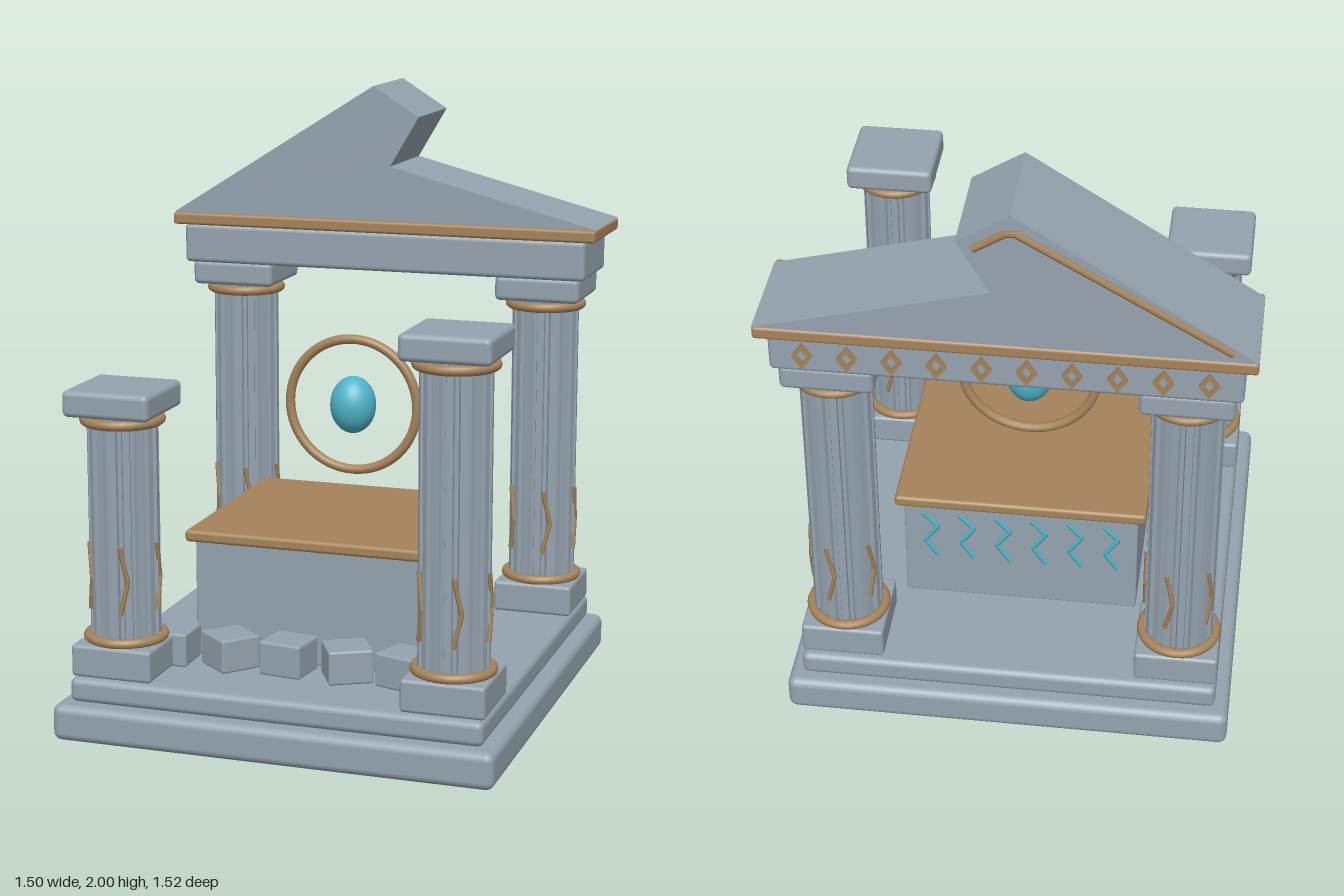
import * as THREE from 'three';
import { RoundedBoxGeometry } from 'three/addons/geometries/RoundedBoxGeometry.js';

function material(name, color) {
  const m = new THREE.MeshStandardMaterial({ color });
  m.name = name;
  return m;
}

export function createModel() {
  const model = new THREE.Group();
  model.name = 'ruinedShrine';
  const stone = material('stone', 0x95a3ae);
  const bronze = material('bronze', 0xa5835a);
  const crystal = material('crystal', 0x4fb4c9);

  function add(parent, name, geometry, mat, x = 0, y = 0, z = 0) {
    const mesh = new THREE.Mesh(geometry, mat);
    mesh.name = name;
    mesh.position.set(x, y, z);
    parent.add(mesh);
    return mesh;
  }

  // Rounded block standing from y0 to y1
  function block(parent, name, mat, w, y0, y1, d, r, x = 0, z = 0) {
    const geo = new RoundedBoxGeometry(w, y1 - y0, d, 3, r);
    return add(parent, name, geo, mat, x, (y0 + y1) / 2, z);
  }

  // Angular rod following straight segments
  function rod(parent, name, mat, points, radius, closed = false) {
    const path = new THREE.CurvePath();
    const n = points.length;
    for (let i = 0; i < (closed ? n : n - 1); i++) {
      path.add(new THREE.LineCurve3(points[i], points[(i + 1) % n]));
    }
    return add(parent, name, new THREE.TubeGeometry(path, 24, radius, 6, closed), mat);
  }
  const v = (x, y, z) => new THREE.Vector3(x, y, z);

  // Stepped platform
  block(model, 'platformBase', stone, 1.45, 0, 0.12, 1.52, 0.028);
  block(model, 'platformStep', stone, 1.36, 0.12, 0.2, 1.43, 0.022);

  // Fluted shaft outline: alternating ridges and grooves
  function shaftGeometry(height) {
    const shape = new THREE.Shape();
    const flutes = 16;
    for (let i = 0; i < flutes; i++) {
      [[0, 0.113], [0.5, 0.113], [0.6, 0.1], [0.9, 0.1]].forEach(([t, r], k) => {
        const a = ((i + t) / flutes) * Math.PI * 2;
        if (i + k === 0) shape.moveTo(r, 0);
        else shape.lineTo(r * Math.cos(a), r * Math.sin(a));
      });
    }
    shape.closePath();
    const geo = new THREE.ExtrudeGeometry(shape, { depth: height, bevelEnabled: false });
    return geo.rotateX(-Math.PI / 2);
  }

  // Column with plinth, bronze collars, capital and bent inlays
  function column(name, x, z, top) {
    const col = new THREE.Group();
    col.name = name;
    col.position.set(x, 0, z);
    model.add(col);
    block(col, 'plinth', stone, 0.27, 0.2, 0.305, 0.27, 0.012);
    add(col, 'shaft', shaftGeometry(top - 0.37), stone, 0, 0.3, 0);
    block(col, 'capital', stone, 0.29, top - 0.085, top, 0.29, 0.018);
    for (const y of [0.316, top - 0.107]) {
      add(col, 'collar', new THREE.TorusGeometry(0.121, 0.016, 10, 32).rotateX(Math.PI / 2), bronze, 0, y, 0);
    }
    for (let i = 0; i < 5; i++) {
      const a = (i / 5) * Math.PI * 2;
      const at = (offset, y) => v(0.113 * Math.cos(a + offset), y, 0.113 * Math.sin(a + offset));
      rod(col, 'inlay', bronze, [at(0.06, 0.41), at(-0.16, 0.515), at(0.06, 0.63)], 0.008);
    }
  }
  column('frontLeftColumn', 0.545, 0.56, 1.375);
  column('frontRightBrokenColumn', -0.545, 0.56, 1.13);
  column('backLeftColumn', 0.545, -0.555, 1.375);
  column('backRightColumn', -0.545, -0.555, 1.375);

  // Entablature with bronze cornice
  block(model, 'entablature', stone, 1.425, 1.37, 1.505, 0.32, 0.016, 0, -0.552);
  block(model, 'cornice', bronze, 1.5, 1.503, 1.545, 0.365, 0.01, 0, -0.56);

  // Broken pediment
  const gable = new THREE.Shape([
    [-0.75, 1.545], [0.75, 1.545], [0.035, 1.73], [0.135, 1.9], [-0.025, 2],
  ].map(([x, y]) => new THREE.Vector2(x, y)));
  add(model, 'brokenPediment',
    new THREE.ExtrudeGeometry(gable, { depth: 0.34, bevelEnabled: false }), stone, 0, 0, -0.738);
  rod(model, 'pedimentTrim', bronze,
    [v(-0.675, 1.575, -0.74), v(-0.025, 1.95, -0.74), v(0.085, 1.88, -0.74)], 0.012);

  // Row of diamond frames on the rear of the entablature
  const diamond = new THREE.Shape([[-0.031, 0], [0, -0.045], [0.031, 0], [0, 0.045]]
    .map(([x, y]) => new THREE.Vector2(x, y)));
  diamond.holes.push(new THREE.Path([[-0.017, 0], [0, 0.025], [0.017, 0], [0, -0.025]]
    .map(([x, y]) => new THREE.Vector2(x, y))));
  const diamondGeo = new THREE.ExtrudeGeometry(diamond, { depth: 0.015, bevelEnabled: false });
  for (let i = 0; i < 10; i++) {
    add(model, 'diamondFrame', diamondGeo, bronze, -0.608 + i * 0.135, 1.436, -0.726);
  }

  // Altar with bronze top
  block(model, 'altarBody', stone, 0.775, 0.2, 0.59, 0.7, 0.006);
  block(model, 'altarTop', bronze, 0.83, 0.583, 0.622, 0.755, 0.012);

  // Glowing zigzags on the rear of the altar
  for (let i = 0; i < 6; i++) {
    const x = 0.3 - i * 0.12;
    rod(model, 'altarZigzag', crystal, [
      v(x + 0.025, 0.545, -0.351), v(x - 0.025, 0.49, -0.351),
      v(x + 0.02, 0.43, -0.351), v(x - 0.025, 0.365, -0.351),
    ], 0.008);
  }

  // Floating orb inside its ring
  add(model, 'orbRing', new THREE.TorusGeometry(0.222, 0.016, 12, 64), bronze, 0, 0.966, -0.108);
  const orb = add(model, 'orb', new THREE.SphereGeometry(0.077, 32, 24), crystal, 0, 0.966, -0.108);
  orb.scale.y = 1.25;

  // Fallen stones before the altar
  [[-0.437, 0.435, 0], [-0.238, 0.432, -0.7], [-0.04, 0.432, -0.13], [0.16, 0.436, 0.5], [0.355, 0.44, -0.3]]
    .forEach(([x, z, turn]) => {
      block(model, 'fallenStone', stone, 0.145, 0.2, 0.31, 0.138, 0.008, x, z).rotation.y = turn;
    });

  return model;
}
